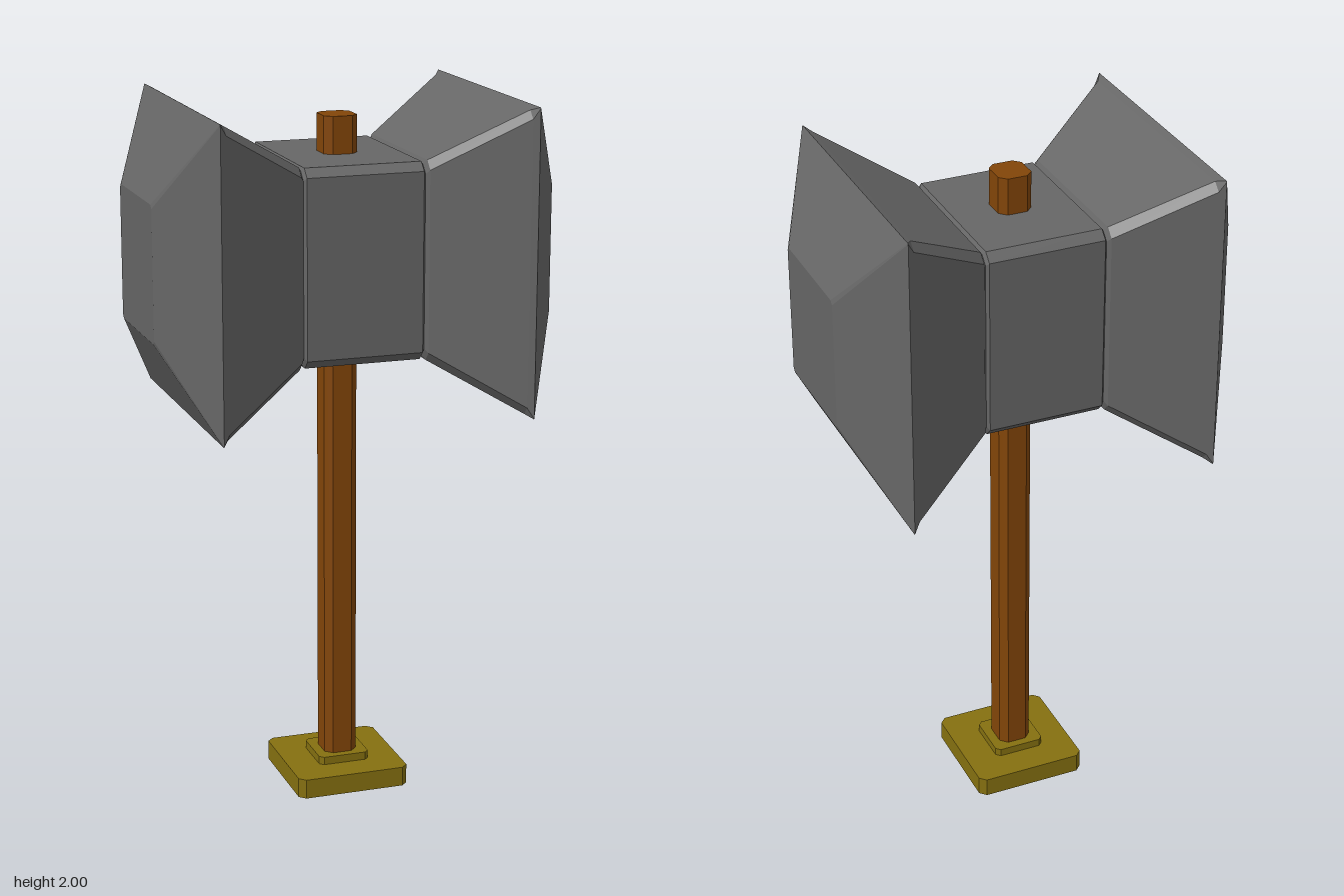
import * as THREE from 'three';

// Chamfered rectangle in the xz plane at height y: half sizes a (x) and b (z), corner cut c
function ring([y, a, b, c]) {
  return [
    [a, b - c], [a - c, b], [c - a, b], [-a, b - c],
    [-a, c - b], [c - a, -b], [a - c, -b], [a, c - b],
  ].map(([x, z]) => [x, y, z]);
}

// Closed solid through a list of chamfered rectangles, bottom to top
function loft(sections) {
  const rings = sections.map(ring);
  const pos = [];
  const tri = (...pts) => pts.forEach((p) => pos.push(...p));
  for (let s = 0; s < rings.length - 1; s++) {
    const lo = rings[s], hi = rings[s + 1];
    for (let i = 0; i < 8; i++) {
      const j = (i + 1) % 8;
      tri(lo[i], hi[i], hi[j]);
      tri(lo[i], hi[j], lo[j]);
    }
  }
  const bottom = rings[0], top = rings[rings.length - 1];
  for (let i = 1; i < 7; i++) {
    tri(bottom[0], bottom[i], bottom[i + 1]);
    tri(top[0], top[i + 1], top[i]);
  }
  const geo = new THREE.BufferGeometry();
  geo.setAttribute('position', new THREE.Float32BufferAttribute(pos, 3));
  geo.computeVertexNormals();
  return geo;
}

export function createModel() {
  const material = (name, color) => {
    const m = new THREE.MeshStandardMaterial({ color });
    m.name = name;
    return m;
  };
  const steel = material('dark steel', 0x666666);
  const wood = material('brown wood', 0x824508);
  const brass = material('old brass', 0x857010);

  const model = new THREE.Group();
  model.name = 'warHammer';
  const add = (parent, name, sections, mat) => {
    const mesh = new THREE.Mesh(loft(sections), mat);
    mesh.name = name;
    parent.add(mesh);
    return mesh;
  };

  // Pommel: square plate with a smaller collar
  add(model, 'pommelPlate', [[0, 0.165, 0.165, 0.018], [0.057, 0.165, 0.165, 0.018]], brass);
  add(model, 'pommelCollar', [[0.05, 0.075, 0.075, 0.012], [0.08, 0.075, 0.075, 0.012]], brass);

  // Eight-sided handle running through the head
  add(model, 'handle', [[0.06, 0.048, 0.051, 0.02], [1.95, 0.048, 0.051, 0.02]], wood);

  // Head, lofted sideways around its centre
  const head = new THREE.Group();
  head.name = 'head';
  head.position.y = 1.57;
  model.add(head);

  const core = add(head, 'headCore', [
    [-0.177, 0.26, 0.233, 0.022],
    [-0.166, 0.275, 0.247, 0.024],
    [0.166, 0.275, 0.247, 0.024],
    [0.177, 0.26, 0.233, 0.022],
  ], steel);
  core.rotation.z = -Math.PI / 2;

  // Flared striking ends, one on each side
  for (const side of [1, -1]) {
    const end = add(head, side > 0 ? 'leftStrikingEnd' : 'rightStrikingEnd', [
      [0.17, 0.26, 0.233, 0.022],
      [0.182, 0.278, 0.25, 0.024],
      [0.425, 0.42, 0.377, 0.022],
      [0.443, 0.43, 0.386, 0.002],
      [0.573, 0.19, 0.17, 0.01],
    ], steel);
    end.rotation.z = -side * Math.PI / 2;
  }
  return model;
}
